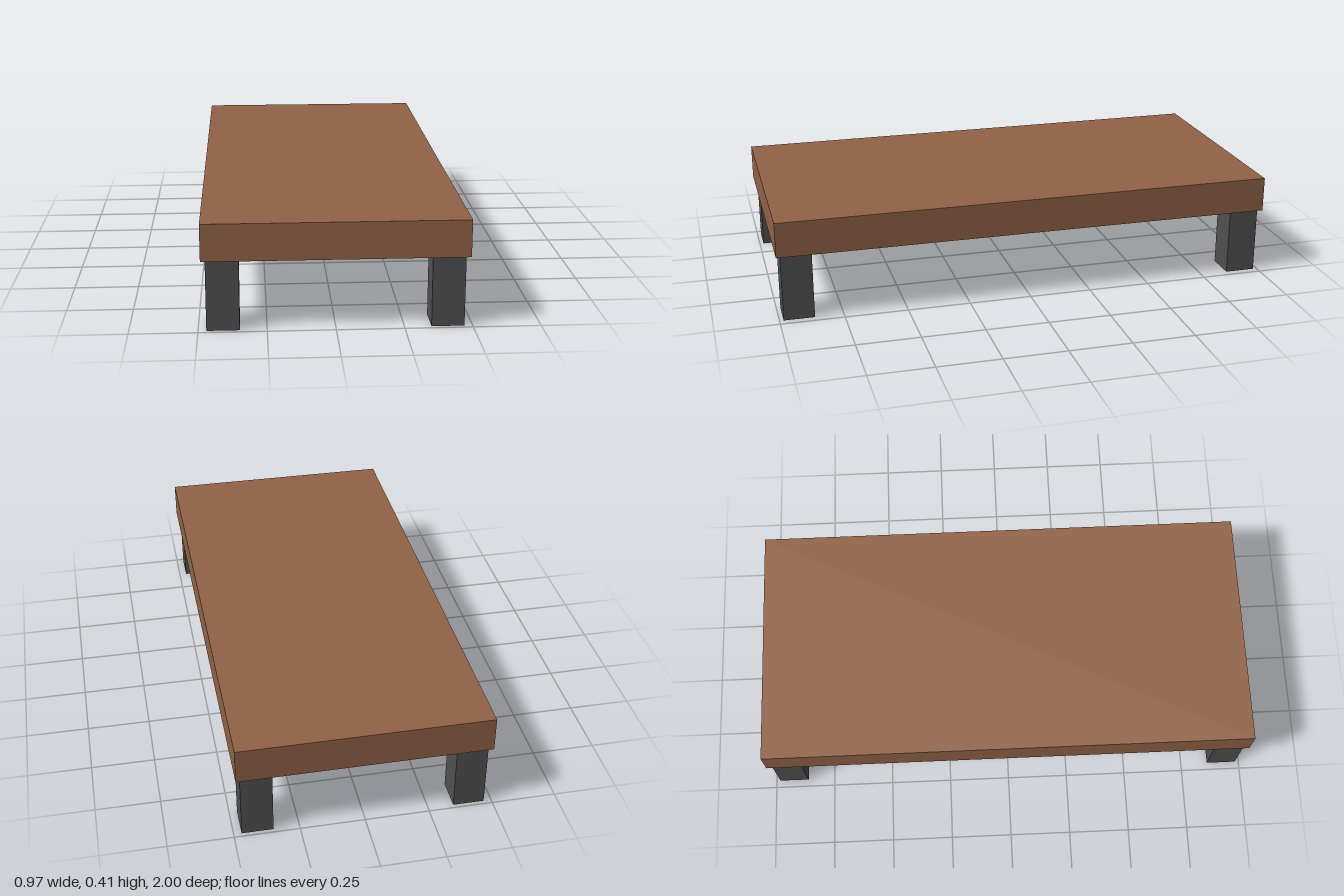
import * as THREE from 'three';

export function createModel() {
  const model = new THREE.Group();
  model.name = 'lowTable';

  const wood = new THREE.MeshStandardMaterial({ name: 'brown wood', color: 0x916246 });
  const metal = new THREE.MeshStandardMaterial({ name: 'dark grey', color: 0x505050, side: THREE.DoubleSide });

  const halfWidth = 0.486, halfLength = 1;
  const legHeight = 0.268, topThickness = 0.14;
  const legSize = 0.121, inset = 0.016;

  // Solid slab
  const top = new THREE.Mesh(new THREE.BoxGeometry(halfWidth * 2, topThickness, halfLength * 2), wood);
  top.name = 'tableTop';
  top.position.y = legHeight + topThickness / 2;
  model.add(top);

  // Hollow square leg, open at both ends
  const legGeometry = new THREE.CylinderGeometry(legSize / Math.SQRT2, legSize / Math.SQRT2, legHeight, 4, 1, true)
    .rotateY(Math.PI / 4)
    .toNonIndexed();
  legGeometry.computeVertexNormals();

  // One leg near each corner
  for (const [zSide, zName] of [[1, 'front'], [-1, 'back']]) {
    for (const [xSide, xName] of [[1, 'Left'], [-1, 'Right']]) {
      const leg = new THREE.Mesh(legGeometry, metal);
      leg.name = `${zName}${xName}Leg`;
      leg.position.set(
        xSide * (halfWidth - inset - legSize / 2),
        legHeight / 2,
        zSide * (halfLength - inset - legSize / 2)
      );
      model.add(leg);
    }
  }
  return model;
}
